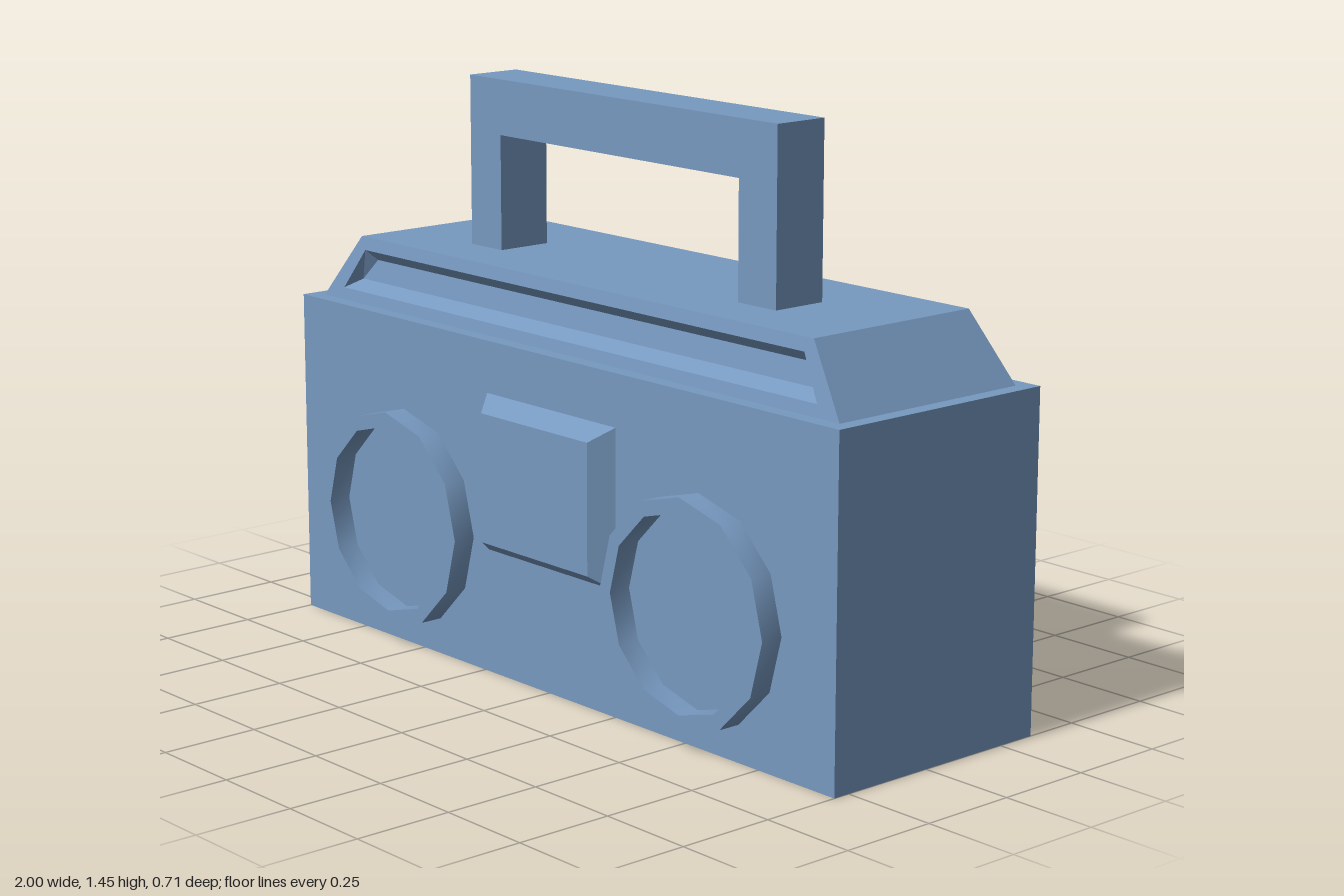
import * as THREE from 'three';
import { toCreasedNormals } from 'three/addons/utils/BufferGeometryUtils.js';

const blue = 0x7698bf;
const flatBlue = new THREE.MeshStandardMaterial({ color: blue, flatShading: true });
const smoothBlue = new THREE.MeshStandardMaterial({ color: blue });

// Four corners, counter-clockwise from the front: bottom row then top row,
// each row given as [xMin, xMax, y, z].
function ring([x0, x1, y0, z0], [x2, x3, y1, z1]) {
  return [[x0, y0, z0], [x1, y0, z0], [x3, y1, z1], [x2, y1, z1]];
}

// Skins a series of four-cornered rings from back to front and caps both ends.
function loft(rings) {
  const index = [];
  const quad = (a, b, c, d) => index.push(a, b, c, a, c, d);
  for (let r = 0; r < rings.length - 1; r++) {
    for (let i = 0; i < 4; i++) {
      const j = (i + 1) % 4, a = r * 4, b = a + 4;
      quad(a + i, a + j, b + j, b + i);
    }
  }
  const last = (rings.length - 1) * 4;
  quad(3, 2, 1, 0);
  quad(last, last + 1, last + 2, last + 3);
  const g = new THREE.BufferGeometry();
  g.setAttribute('position', new THREE.Float32BufferAttribute(rings.flat(2), 3));
  g.setIndex(index);
  const flat = g.toNonIndexed();
  flat.computeVertexNormals();
  return flat;
}

const points = (list) => list.map(([x, y]) => new THREE.Vector2(x, y));
const rect = (x0, x1, y0, y1) => points([[x0, y0], [x1, y0], [x1, y1], [x0, y1]]);
const polygon = (radius, sides) => points(Array.from({ length: sides }, (_, i) => {
  const a = (i / sides) * Math.PI * 2;
  return [radius * Math.cos(a), radius * Math.sin(a)];
}));

// Extrudes an outline with holes from z0 to z1.
function slab(outline, holes, z0, z1) {
  const shape = new THREE.Shape(outline);
  shape.holes = holes.map((h) => new THREE.Path(h));
  const g = new THREE.ExtrudeGeometry(shape, { depth: z1 - z0, bevelEnabled: false });
  return g.translate(0, 0, z0);
}

export function createModel() {
  const model = new THREE.Group();
  model.name = 'portableStereo';
  const add = (name, geometry, material = flatBlue) => {
    const mesh = new THREE.Mesh(geometry, material);
    mesh.name = name;
    model.add(mesh);
    return mesh;
  };

  const front = 0.295, back = -0.355, pocketFloor = -0.185;

  // Body: solid front part and a rear part with two pockets
  add('body', slab(rect(-1, 1, 0, 0.85), [], pocketFloor, front));
  add('bodyBack', slab(rect(-1, 1, 0, 0.85), [
    rect(0.293, 0.96, 0.358, 0.675),
    rect(-0.962, -0.27, 0.358, 0.675),
  ], back, pocketFloor));

  // Tapered top with a sunken strip along its sloping front
  add('topHousing', loft([
    ring([-0.96, 0.96, 0.85, -0.315], [-0.84, 0.84, 1.018, -0.28]),
    ring([-0.96, 0.96, 0.85, 0.255], [-0.84, 0.84, 1.018, 0.22]),
    ring([-0.882, 0.882, 0.88, 0.249], [-0.817, 0.817, 0.985, 0.227]),
    ring([-0.85, 0.85, 0.903, 0.21], [-0.80, 0.80, 0.958, 0.199]),
  ]));

  // Raised door with bevelled edges
  add('cassetteDoor', loft([
    ring([-0.232, 0.252, 0.318, front], [-0.232, 0.252, 0.718, front]),
    ring([-0.188, 0.212, 0.355, 0.35], [-0.188, 0.212, 0.683, 0.35]),
  ]));

  // Speaker rims
  for (const [name, x] of [['rightSpeakerRim', -0.573], ['leftSpeakerRim', 0.543]]) {
    const rim = slab(polygon(0.281, 12), [polygon(0.243, 12)], front, 0.355);
    add(name, toCreasedNormals(rim, 0.6), smoothBlue).position.set(x, 0.336, 0);
  }

  // Carrying handle
  add('handle', slab(points([
    [-0.566, 1.018], [-0.446, 1.018], [-0.446, 1.312], [0.434, 1.312],
    [0.434, 1.018], [0.563, 1.018], [0.563, 1.453], [-0.566, 1.453],
  ]), [], -0.076, 0.073));

  return model;
}
